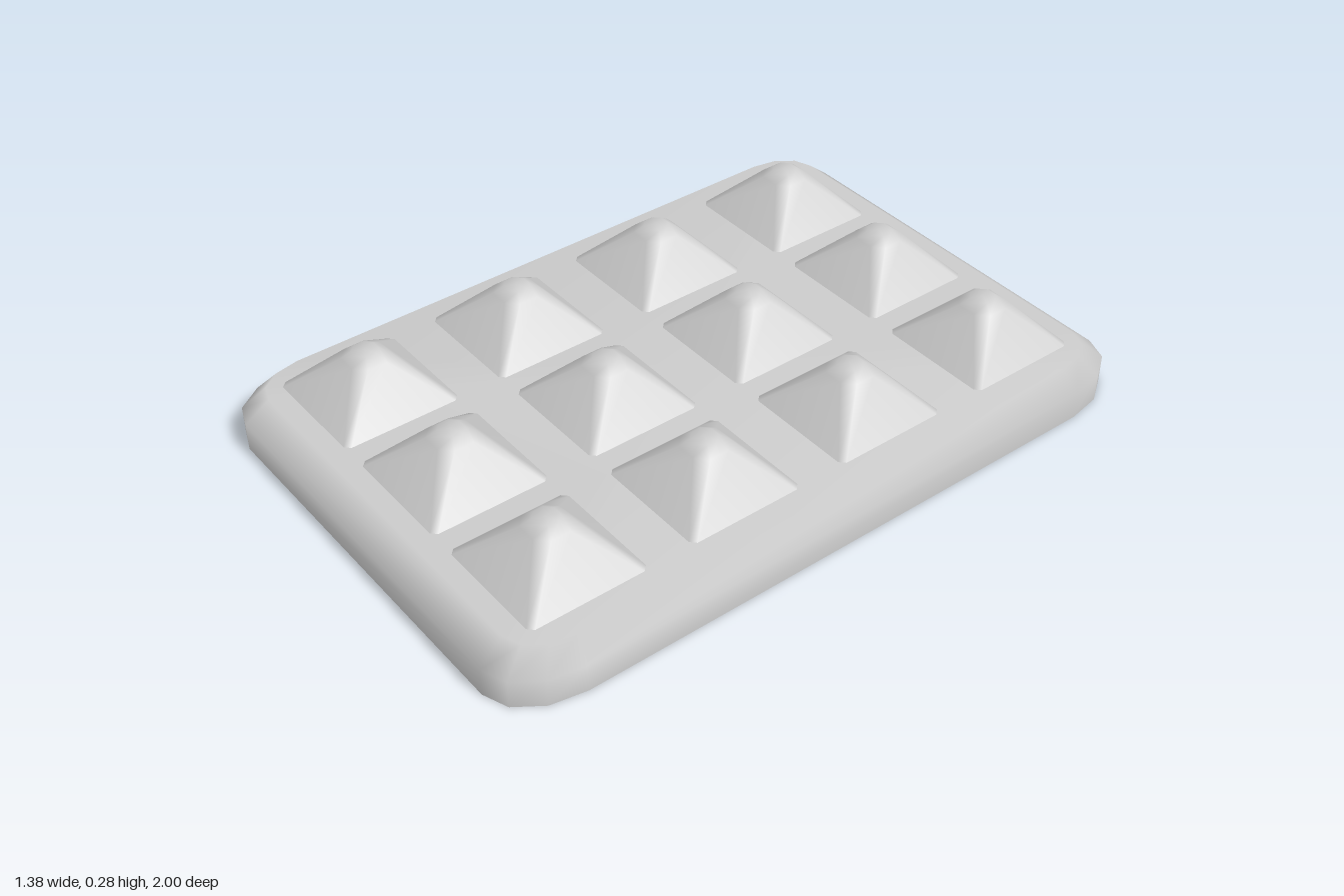
import * as THREE from 'three';

const material = new THREE.MeshStandardMaterial({ color: 0xcccccc });

// Rounded rectangle at height y, counter-clockwise seen from above.
function ring(y, hx, hz, rx, rz, segments) {
  const points = [];
  for (let q = 0; q < 4; q++) {
    const sx = q === 0 || q === 3 ? 1 : -1;
    const sz = q < 2 ? 1 : -1;
    for (let j = 0; j <= segments; j++) {
      const a = (q + j / segments) * Math.PI / 2;
      points.push([
        sx * (hx - rx) + rx * Math.cos(a),
        y,
        -(sz * (hz - rz) + rz * Math.sin(a)),
      ]);
    }
  }
  return points;
}

// Joins rings from bottom to top, closing the top with a smooth cap
// and the bottom with its own flat cap so that edge stays sharp.
function loft(rings) {
  const n = rings[0].length;
  const positions = rings.flat(2);
  const index = [];
  const top = (rings.length - 1) * n;
  const topCentre = rings.length * n;
  const base = topCentre + 1;
  positions.push(0, rings.at(-1)[0][1], 0);
  positions.push(...rings[0].flat(), 0, rings[0][0][1], 0);
  for (let i = 0; i < n; i++) {
    const k = (i + 1) % n;
    for (let r = 0; r < top; r += n) {
      index.push(r + i, r + k, r + n + k, r + i, r + n + k, r + n + i);
    }
    index.push(top + i, top + k, topCentre);
    index.push(base + k, base + i, base + n);
  }
  const geometry = new THREE.BufferGeometry();
  geometry.setAttribute('position', new THREE.Float32BufferAttribute(positions, 3));
  geometry.setIndex(index);
  geometry.computeVertexNormals();
  return geometry;
}

export function createModel() {
  const model = new THREE.Group();
  model.name = 'studdedBar';

  // Slab with rounded corners and a bevelled top edge
  const slab = new THREE.Mesh(loft([
    ring(0, 0.69, 1, 0.14, 0.2, 3),
    ring(0.08, 0.69, 1, 0.14, 0.2, 3),
    ring(0.137, 0.64, 0.93, 0.1, 0.14, 3),
  ]), material);
  slab.name = 'slab';
  model.add(slab);

  // Grid of blunt pyramids with softened ridges
  const pyramid = loft([
    ring(0.137, 0.17, 0.17, 0.015, 0.015, 1),
    ring(0.255, 0.058, 0.058, 0.03, 0.03, 1),
    ring(0.275, 0.032, 0.032, 0.018, 0.018, 1),
  ]);
  const studs = new THREE.Group();
  studs.name = 'pyramids';
  for (const z of [-0.71, -0.237, 0.237, 0.705]) {
    for (const x of [-0.408, -0.003, 0.402]) {
      const stud = new THREE.Mesh(pyramid, material);
      stud.name = 'pyramid';
      stud.position.set(x, 0, z);
      studs.add(stud);
    }
  }
  model.add(studs);
  return model;
}
